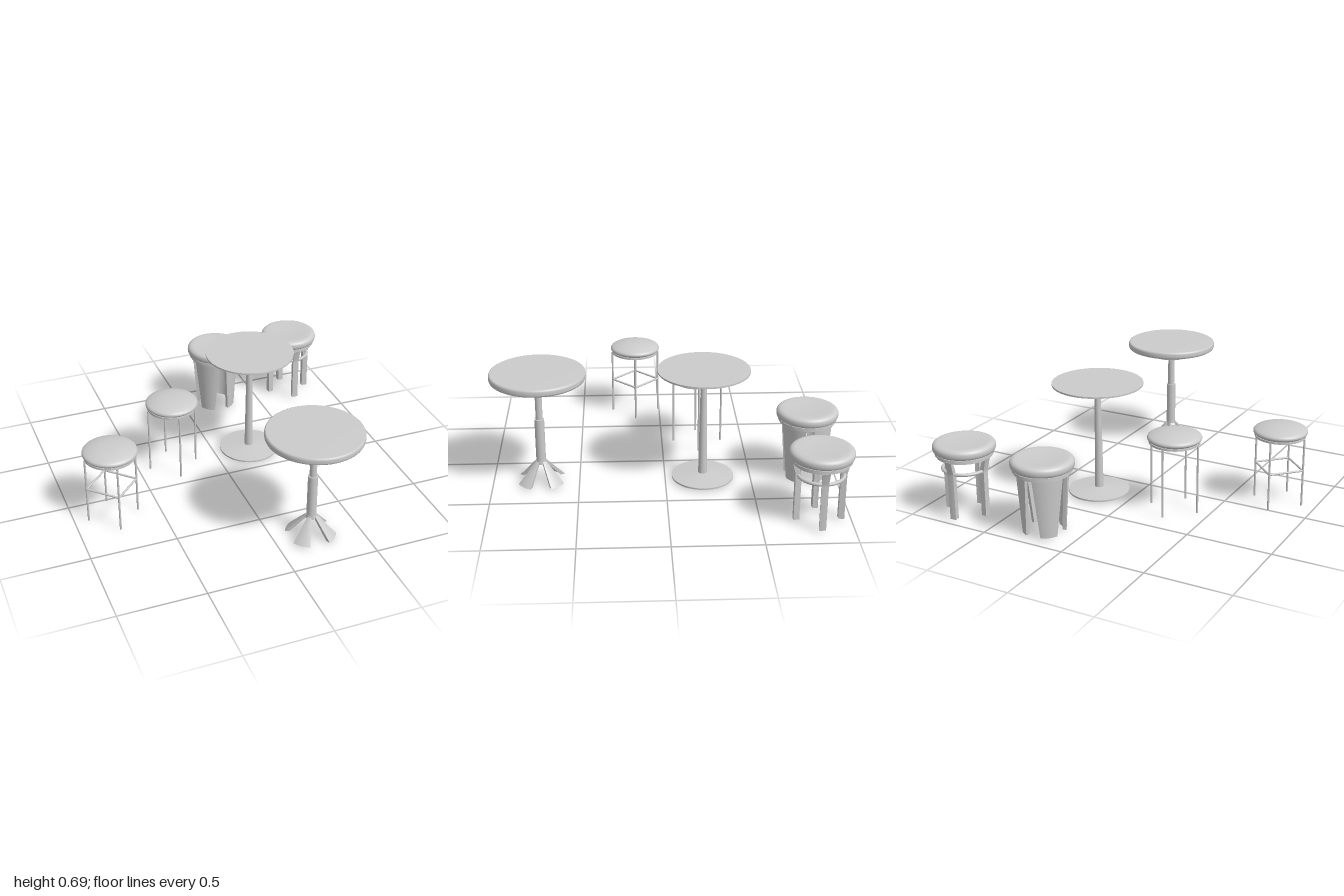
import * as THREE from 'three';

const grey = new THREE.MeshStandardMaterial({ color: 0xcccccc });

function add(group, name, geometry, x = 0, y = 0, z = 0) {
  const mesh = new THREE.Mesh(geometry, grey);
  mesh.name = name;
  mesh.position.set(x, y, z);
  group.add(mesh);
  return mesh;
}

function place(parent, name, x, z) {
  const group = new THREE.Group();
  group.name = name;
  group.position.set(x, 0, z);
  parent.add(group);
  return group;
}

// Solid disc or post between two heights
function disc(group, name, y0, y1, r0, r1 = r0, sides = 48) {
  return add(group, name, new THREE.CylinderGeometry(r1, r0, y1 - y0, sides), 0, (y0 + y1) / 2, 0);
}

// Soft cushion: smooth outline from bottom rim to top centre, flat underside
function cushion(group, radius, bottom, points) {
  const curve = new THREE.SplineCurve(points.map(p => new THREE.Vector2(...p)));
  add(group, 'seat', new THREE.LatheGeometry(curve.getPoints(28), 56));
  const under = add(group, 'seatUnderside', new THREE.CircleGeometry(radius, 56), 0, bottom, 0);
  under.rotation.x = Math.PI / 2;
}

// Curved slab around the axis; rows run bottom to top as [y, inner radius, outer radius, half angle]
function slab(rows, across) {
  const geometry = new THREE.BoxGeometry(1, 1, 1, across, rows.length - 1, 1);
  const p = geometry.attributes.position;
  for (let i = 0; i < p.count; i++) {
    const [y, inner, outer, half] = rows[Math.round((p.getY(i) + 0.5) * (rows.length - 1))];
    const r = p.getZ(i) > 0 ? outer : inner;
    const a = p.getX(i) * 2 * half;
    p.setXYZ(i, r * Math.sin(a), y, r * Math.cos(a));
  }
  geometry.computeVertexNormals();
  return geometry;
}

function fourAround(group, name, geometry, start) {
  for (let i = 0; i < 4; i++) add(group, name, geometry, 0, 0, 0).rotation.y = start + i * Math.PI / 2;
}

// Wire-legged stool, with or without a footrest square
function wireStool(parent, x, z, footrest) {
  const g = place(parent, 'wireStool', x, z);
  cushion(g, 0.14, 0.42, [[0.14, 0.42], [0.152, 0.428], [0.156, 0.44], [0.146, 0.453], [0.11, 0.466], [0.06, 0.475], [0, 0.478]]);
  disc(g, 'seatPlate', 0.408, 0.42, 0.147);
  const r = 0.147;
  const leg = new THREE.CylinderGeometry(0.006, 0.006, 0.41, 12).translate(0, 0.205, r);
  fourAround(g, 'leg', leg, 0);
  if (footrest) {
    const bar = new THREE.CylinderGeometry(0.006, 0.006, r * Math.SQRT2, 12)
      .rotateZ(Math.PI / 2).translate(0, 0.217, r / Math.SQRT2);
    fourAround(g, 'footrestBar', bar, Math.PI / 4);
  }
}

// Thick round seat shared by the two heavier stools
function thickSeat(g) {
  cushion(g, 0.155, 0.378, [[0.155, 0.378], [0.172, 0.387], [0.178, 0.405], [0.174, 0.425], [0.155, 0.437], [0.12, 0.437], [0.06, 0.433], [0, 0.432]]);
  disc(g, 'seatPlate', 0.367, 0.38, 0.166);
  disc(g, 'seatCollar', 0.355, 0.368, 0.158);
}

function panelStool(parent, x, z) {
  const g = place(parent, 'panelStool', x, z);
  thickSeat(g);
  fourAround(g, 'panelLeg', slab([[0.008, 0.1, 0.122, 0.4], [0.36, 0.124, 0.145, 0.64]], 12), Math.PI / 4);
}

function ringStool(parent, x, z) {
  const g = place(parent, 'ringStool', x, z);
  thickSeat(g);
  // Legs kick outward above the ring
  const leg = slab([[0.008, 0.108, 0.141, 0.135], [0.27, 0.108, 0.141, 0.14], [0.29, 0.113, 0.142, 0.14], [0.36, 0.136, 0.16, 0.14]], 3);
  fourAround(g, 'leg', leg, 0);
  add(g, 'footRing', new THREE.TorusGeometry(0.126, 0.01, 12, 56).rotateX(Math.PI / 2), 0, 0.28, 0);
}

// Thin-topped table on a trumpet base
function discTable(parent, x, z) {
  const g = place(parent, 'discTable', x, z);
  disc(g, 'tableTop', 0.676, 0.686, 0.264, 0.264, 72);
  disc(g, 'stem', 0.025, 0.678, 0.026, 0.017, 32);
  disc(g, 'baseRim', 0.01, 0.02, 0.18, 0.18, 64);
  disc(g, 'baseCone', 0.02, 0.036, 0.18, 0.03, 64);
}

// Thick-topped table on four splayed feet
function splayTable(parent, x, z) {
  const g = place(parent, 'splayTable', x, z);
  const top = [[0, 0.643], [0.264, 0.643], [0.27, 0.647], [0.273, 0.655], [0.273, 0.673], [0.27, 0.682], [0.263, 0.686], [0, 0.686]];
  add(g, 'tableTop', new THREE.LatheGeometry(top.map(p => new THREE.Vector2(...p)), 72));
  disc(g, 'topMount', 0.59, 0.645, 0.116);
  disc(g, 'upperStem', 0.39, 0.595, 0.02, 0.02, 32);
  disc(g, 'lowerStem', 0.12, 0.395, 0.028, 0.028, 32);
  disc(g, 'footCollar', 0.115, 0.138, 0.032, 0.03, 32);
  fourAround(g, 'foot', slab([[0.008, 0.118, 0.144, 0.36], [0.13, 0.01, 0.032, 0.42]], 8), Math.PI / 4);
}

export function createModel() {
  const model = new THREE.Group();
  model.name = 'tablesAndStools';
  wireStool(model, -0.77, 0.155, true);
  wireStool(model, -0.28, -0.22, false);
  panelStool(model, 0.22, -0.82);
  ringStool(model, 0.74, -0.82);
  discTable(model, 0.22, -0.22);
  splayTable(model, 0.22, 0.72);
  return model;
}
